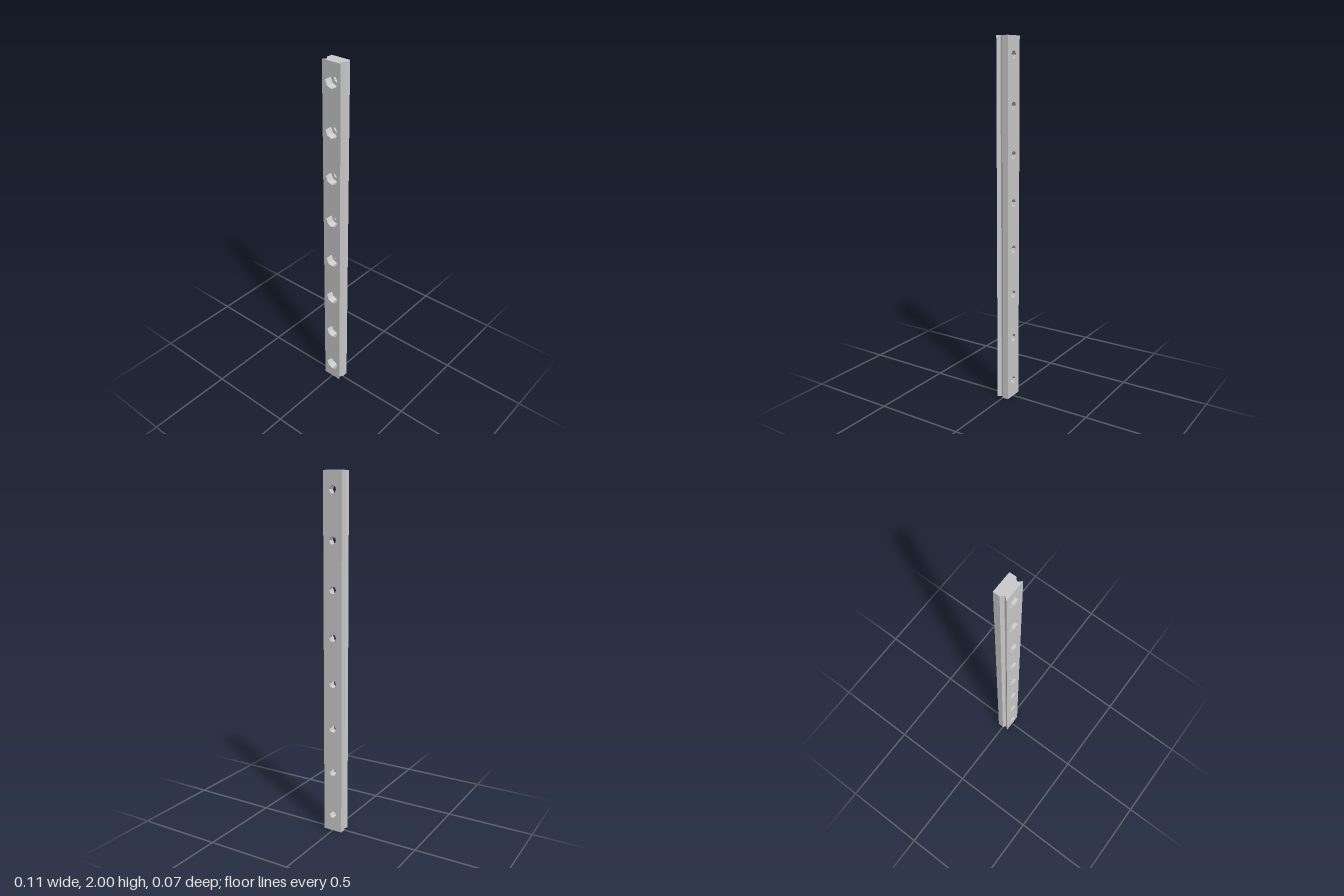
import * as THREE from 'three';

const LENGTH = 2, DEPTH = 0.035;      // rail length, half depth
const BORE = 0.039, HOLE = 0.021;     // counterbore and through-hole radii
const SIDES = 8, HOLE_COUNT = 8, FIRST = 0.098, PITCH = 0.258;
const holeHeights = Array.from({ length: HOLE_COUNT }, (_, i) => FIRST + i * PITCH);

// Right edge of the cross-section (x, z), back to front, with the ball groove
const edge = [[0.056, -DEPTH], [0.057, 0], [0.042, 0.014], [0.042, 0.019], [0.057, DEPTH]];
const mirrored = edge.map(([x, z]) => [-x, z]).reverse();

const material = new THREE.MeshStandardMaterial({ color: 0xcccccc, flatShading: true });

function add(group, name, geometry) {
  const mesh = new THREE.Mesh(geometry, material);
  mesh.name = name;
  group.add(mesh);
  return mesh;
}

// Sweeps a run of section points up the rail
function wallGeometry(points) {
  const pos = [];
  for (let i = 0; i < points.length - 1; i++) {
    const [[x0, z0], [x1, z1]] = [points[i], points[i + 1]];
    pos.push(x0, 0, z0, x0, LENGTH, z0, x1, LENGTH, z1);
    pos.push(x0, 0, z0, x1, LENGTH, z1, x1, 0, z1);
  }
  const geometry = new THREE.BufferGeometry();
  geometry.setAttribute('position', new THREE.Float32BufferAttribute(pos, 3));
  geometry.computeVertexNormals();
  return geometry;
}

// Flat face pierced by a row of polygonal holes
function faceGeometry(halfWidth, radius) {
  const shape = new THREE.Shape([
    new THREE.Vector2(-halfWidth, 0), new THREE.Vector2(halfWidth, 0),
    new THREE.Vector2(halfWidth, LENGTH), new THREE.Vector2(-halfWidth, LENGTH),
  ]);
  for (const y of holeHeights) {
    const ring = [];
    for (let i = 0; i < SIDES; i++) {
      const a = -i / SIDES * Math.PI * 2;
      ring.push(new THREE.Vector2(Math.cos(a) * radius, y + Math.sin(a) * radius));
    }
    shape.holes.push(new THREE.Path(ring));
  }
  return new THREE.ShapeGeometry(shape);
}

function capGeometry(zSign) {
  const outline = [...edge, ...mirrored].map(([x, z]) => new THREE.Vector2(x, z * zSign));
  return new THREE.ShapeGeometry(new THREE.Shape(outline)).rotateX(zSign * Math.PI / 2);
}

export function createModel() {
  const rail = new THREE.Group();
  rail.name = 'linearRail';

  // Grooved sides
  add(rail, 'leftSide', wallGeometry(edge));
  add(rail, 'rightSide', wallGeometry(mirrored));

  // Front and back faces
  add(rail, 'frontFace', faceGeometry(0.057, BORE).translate(0, 0, DEPTH));
  add(rail, 'backFace', faceGeometry(0.056, HOLE).rotateY(Math.PI).translate(0, 0, -DEPTH));

  // End caps
  add(rail, 'topEnd', capGeometry(-1).translate(0, LENGTH, 0));
  add(rail, 'bottomEnd', capGeometry(1));

  // Counterbored screw holes, seen from inside
  const bore = new THREE.LatheGeometry([
    new THREE.Vector2(BORE, DEPTH), new THREE.Vector2(BORE, -0.008),
    new THREE.Vector2(HOLE, -0.008), new THREE.Vector2(HOLE, -DEPTH),
  ], SIDES).rotateX(Math.PI / 2);
  for (const y of holeHeights) add(rail, 'screwHole', bore).position.y = y;

  return rail;
}
